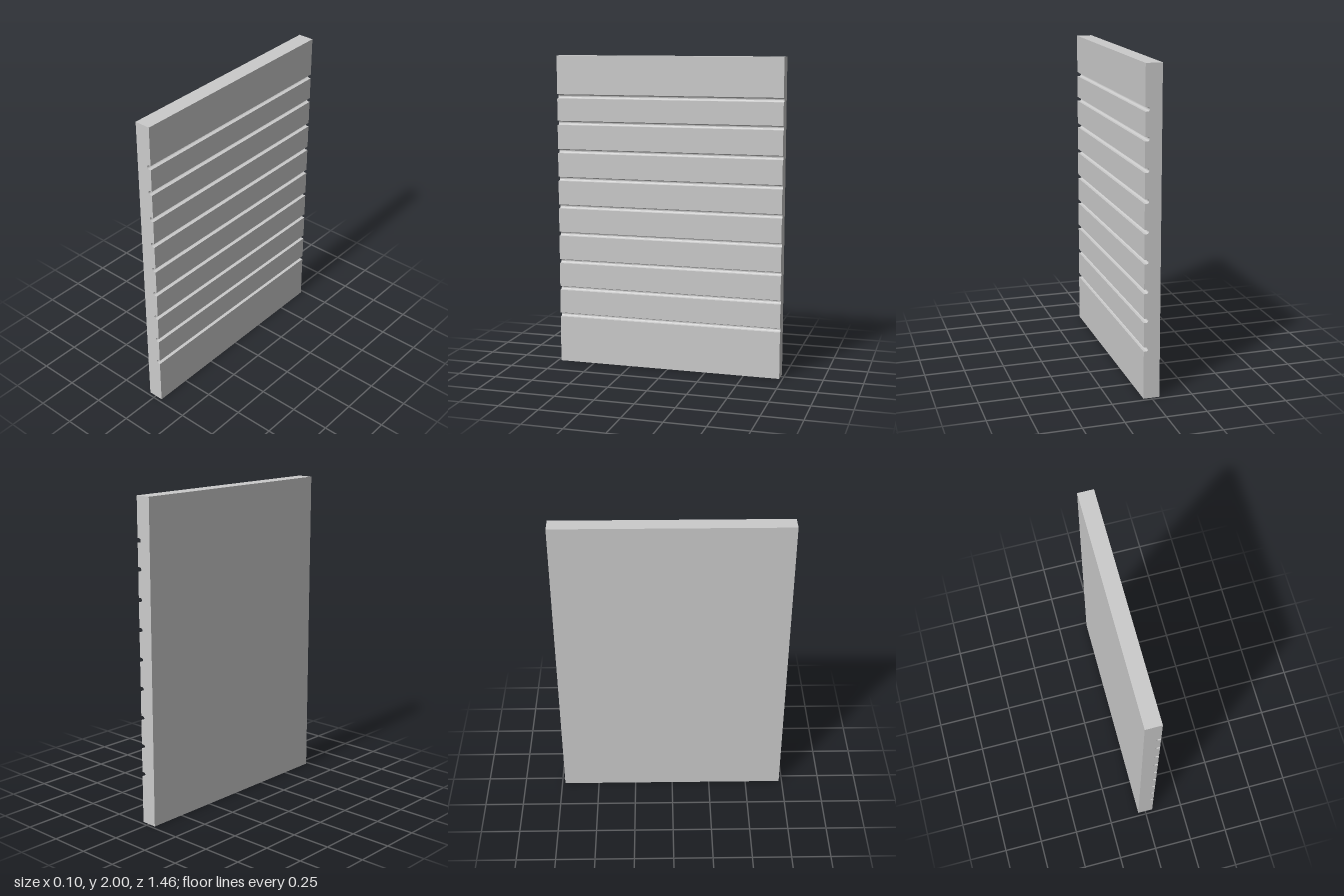
import * as THREE from 'three';

export function createModel() {
  const group = new THREE.Group();
  const halfThick = 0.05, height = 2, depth = 1.46;
  const grooveRadius = 0.0135, grooveCentreX = 0.037;
  // groove heights, bottom to top
  const grooves = [0.313, 0.492, 0.671, 0.852, 1.032, 1.212, 1.392, 1.573, 1.742];

  // panel cross-section with round-bottomed grooves along its left face
  const profile = new THREE.Shape();
  profile.moveTo(-halfThick, 0);
  profile.lineTo(halfThick, 0);
  for (const y of grooves) {
    profile.lineTo(halfThick, y - grooveRadius);
    profile.lineTo(grooveCentreX, y - grooveRadius);
    profile.absarc(grooveCentreX, y, grooveRadius, -Math.PI / 2, Math.PI / 2, true);
    profile.lineTo(halfThick, y + grooveRadius);
  }
  profile.lineTo(halfThick, height);
  profile.lineTo(-halfThick, height);
  profile.closePath();

  const geometry = new THREE.ExtrudeGeometry(profile, { depth, bevelEnabled: false, curveSegments: 4 });
  geometry.translate(0, 0, -depth / 2);

  const panel = new THREE.Mesh(geometry, new THREE.MeshStandardMaterial({ color: 0xcccccc }));
  panel.name = 'groovedPanel';
  group.add(panel);
  return group;
}
